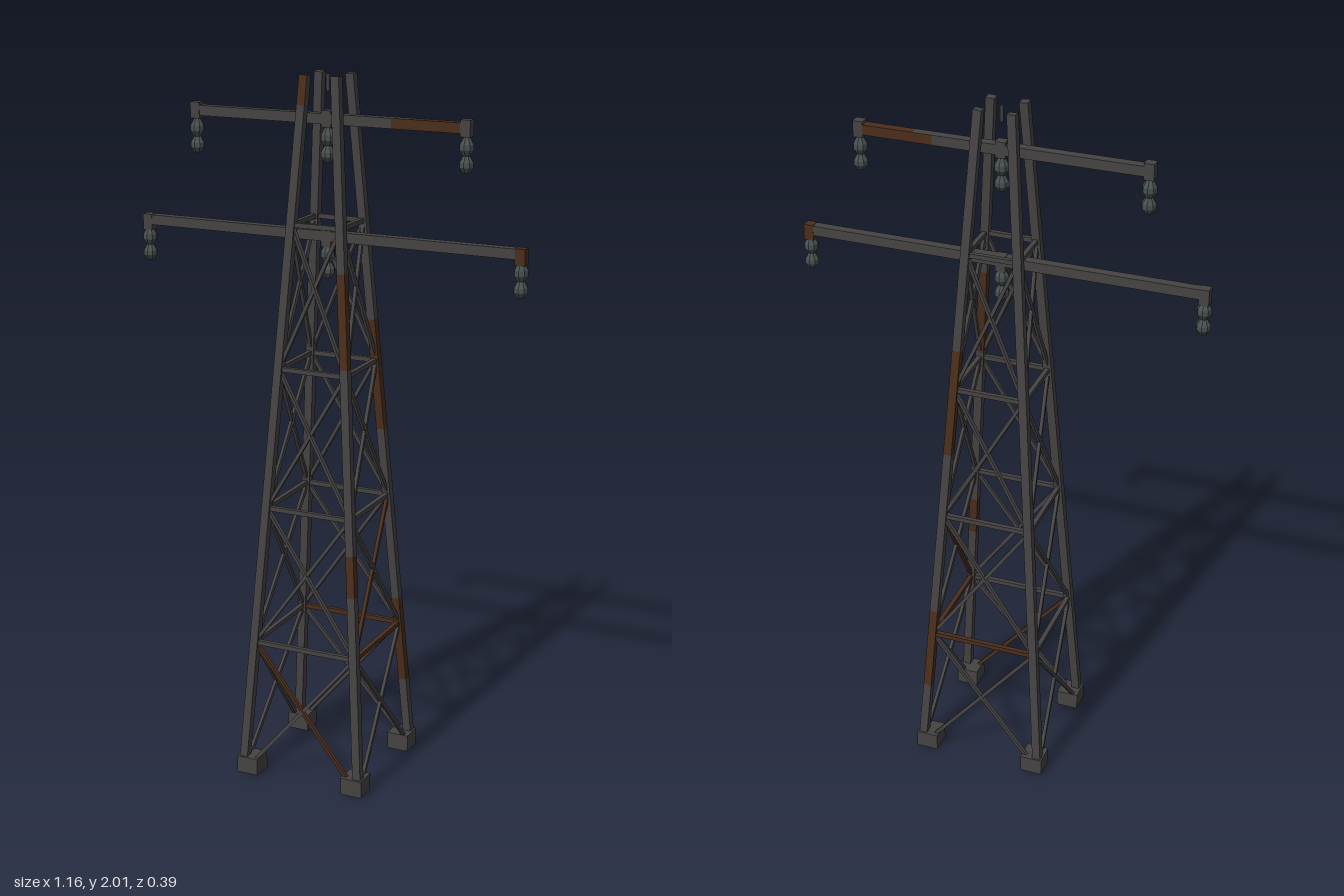
import * as THREE from 'three';

export function createModel() {
  const model = new THREE.Group();
  const mat = (name, color) => {
    const m = new THREE.MeshStandardMaterial({ color });
    m.name = name;
    return m;
  };
  const steel = mat('dark steel', 0x464343);
  const rust = mat('rust', 0x4b2e1b);
  const ceramic = mat('grey green ceramic', 0x495050);

  const UP = new THREE.Vector3(0, 1, 0);
  const add = (name, geometry, material, x, y, z) => {
    const mesh = new THREE.Mesh(geometry, material);
    mesh.name = name;
    mesh.position.set(x, y, z);
    model.add(mesh);
    return mesh;
  };
  // square bar between two points
  const bar = (name, a, b, t, material) => {
    const d = b.clone().sub(a);
    const mid = a.clone().add(b).multiplyScalar(0.5);
    const mesh = add(name, new THREE.BoxGeometry(t, d.length(), t), material, mid.x, mid.y, mid.z);
    mesh.quaternion.setFromUnitVectors(UP, d.normalize());
  };
  // point on the axis of the leg in corner (sx, sz) at height y
  const legPoint = (sx, sz, y) => {
    const r = 0.183 - 0.0685 * y;
    return new THREE.Vector3(sx * r, y, sz * r);
  };

  // legs, cut at the heights where rust starts and stops, and footings
  const rustyFront = [steel, steel, steel, steel, rust, steel];
  const legs = [
    { sx: 1, sz: 1, cuts: [0, 0.58, 0.7, 1.22, 1.48, 2], patch: rust },
    { sx: 1, sz: -1, cuts: [0, 0.22, 0.48, 1.0, 1.32, 2], patch: rust },
    { sx: -1, sz: -1, cuts: [0, 2], patch: steel },
    { sx: -1, sz: 1, cuts: [0, 1.92, 2], patch: rustyFront },
  ];
  for (const { sx, sz, cuts, patch } of legs) {
    for (let i = 0; i + 1 < cuts.length; i++) {
      bar('leg', legPoint(sx, sz, cuts[i]), legPoint(sx, sz, cuts[i + 1]), 0.024, i % 2 ? patch : steel);
    }
    add('footing', new THREE.BoxGeometry(0.064, 0.05, 0.064), steel, sx * 0.165, 0.025, sz * 0.165);
  }

  // lattice on the four sides: cross braces and a horizontal per panel (rusty ones keyed side-panel)
  const corners = [[1, 1], [1, -1], [-1, -1], [-1, 1]];
  const rustyRising = ['0-1'];
  const rustyFalling = ['3-0'];
  const rustyStruts = ['0-0', '1-0'];
  corners.forEach((c, side) => {
    const d = corners[(side + 1) % 4];
    for (let p = 0; p < 4; p++) {
      const y0 = p * 0.4, y1 = y0 + 0.4, key = side + '-' + p;
      const pick = (list) => (list.includes(key) ? rust : steel);
      bar('horizontalStrut', legPoint(...c, y1), legPoint(...d, y1), 0.013, pick(rustyStruts));
      bar('crossBrace', legPoint(...c, y0), legPoint(...d, y1), 0.01, pick(rustyRising));
      bar('crossBrace', legPoint(...c, y1), legPoint(...d, y0), 0.01, pick(rustyFalling));
    }
  });

  // crossarms; the rust reaches further in on the sides than on top
  const rustyBelowTop = [rust, rust, steel, rust, rust, rust];
  const arm = (x0, x1, y, material) =>
    add('crossarm', new THREE.BoxGeometry(x1 - x0, 0.028, 0.027), material, (x0 + x1) / 2, y, 0);
  arm(-0.56, 0.56, 1.563, steel);
  arm(-0.4, 0.19, 1.881, steel);
  arm(0.19, 0.245, 1.881, rustyBelowTop);
  arm(0.245, 0.4, 1.881, rust);

  // faceted insulator strings hanging from the arms
  const profile = [[0, -0.117], [0.01, -0.117], [0.02, -0.102], [0.02, -0.09], [0.01, -0.073],
    [0.02, -0.057], [0.02, -0.043], [0.01, -0.025], [0.01, 0]].map(([x, y]) => new THREE.Vector2(x, y));
  const stringGeometry = new THREE.LatheGeometry(profile, 8).toNonIndexed();
  stringGeometry.computeVertexNormals();
  const fittingGeometry = new THREE.BoxGeometry(0.028, 0.045, 0.028);
  for (const [half, y, fittingY] of [[0.56, 1.563, 1.556], [0.4, 1.881, 1.881]]) {
    for (const s of [-1, 0, 1]) {
      const rusty = s === 1 && half > 0.5;
      add(s ? 'endFitting' : 'hanger', fittingGeometry, rusty ? rust : steel, s * half, fittingY, 0);
      add('insulator', stringGeometry, ceramic, s * half, y, 0);
    }
  }

  // short rod at the peak
  add('peakRod', new THREE.CylinderGeometry(0.005, 0.005, 0.045, 6), steel, 0, 1.9775, 0);

  return model;
}
